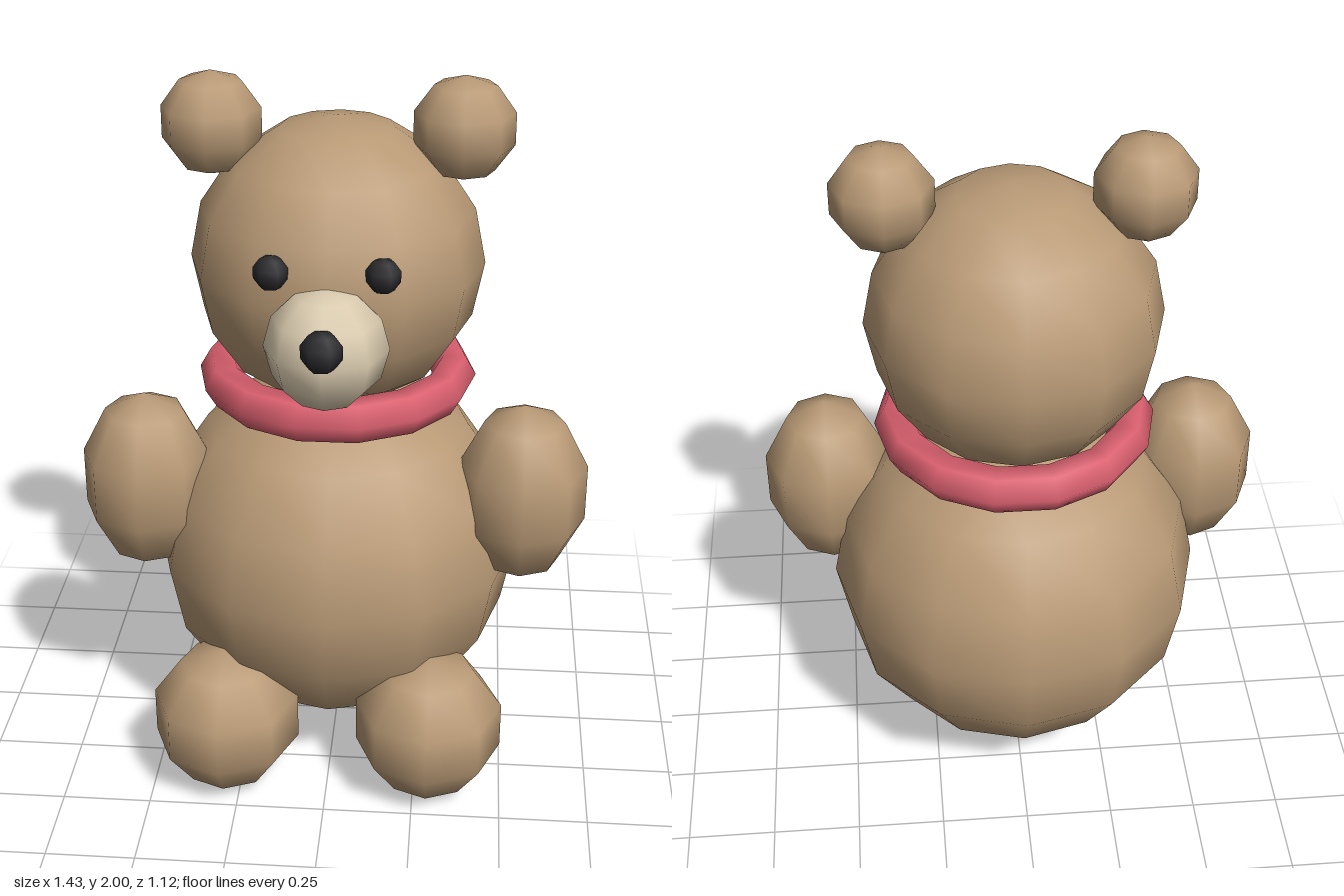
import * as THREE from 'three';

export function createModel() {
  const model = new THREE.Group();
  model.name = 'teddyBear';

  const material = (name, color) => {
    const m = new THREE.MeshStandardMaterial({ color });
    m.name = name;
    return m;
  };
  const fur = material('tan fur', 0xb99a76);
  const cream = material('cream muzzle', 0xd9caae);
  const dark = material('black buttons', 0x2a2a2d);
  const pink = material('pink collar', 0xd95f6e);

  // Low-sided smooth ball, optionally stretched upwards
  const ball = (name, mat, radius, sides, rings, [x, y, z], stretch = 1) => {
    const mesh = new THREE.Mesh(new THREE.SphereGeometry(radius, sides, rings), mat);
    mesh.name = name;
    mesh.position.set(x, y, z);
    mesh.scale.y = stretch;
    model.add(mesh);
  };

  // Body and head
  ball('body', fur, 0.53, 12, 8, [0, 0.61, -0.032]);
  ball('head', fur, 0.407, 12, 8, [0, 1.477, -0.034]);

  // Face
  ball('muzzle', cream, 0.166, 8, 6, [0, 1.378, 0.35]);
  ball('nose', dark, 0.057, 6, 5, [0, 1.429, 0.498]);

  // Mirrored parts
  for (const [side, s] of [['left', 1], ['right', -1]]) {
    ball(side + 'Eye', dark, 0.048, 6, 5, [s * 0.145, 1.571, 0.327]);
    ball(side + 'Ear', fur, 0.143, 8, 5, [s * 0.339, 1.857, -0.032]);
    ball(side + 'Arm', fur, 0.19, 8, 5, [s * 0.533, 0.85, 0.113], 1.4);
    ball(side + 'Leg', fur, 0.217, 8, 5, [s * 0.29, 0.217, 0.354]);
  }

  // Collar ring round the neck
  const collar = new THREE.Mesh(new THREE.TorusGeometry(0.33, 0.062, 6, 14), pink);
  collar.name = 'collar';
  collar.rotation.x = Math.PI / 2;
  collar.position.set(0, 1.14, -0.032);
  model.add(collar);

  return model;
}
